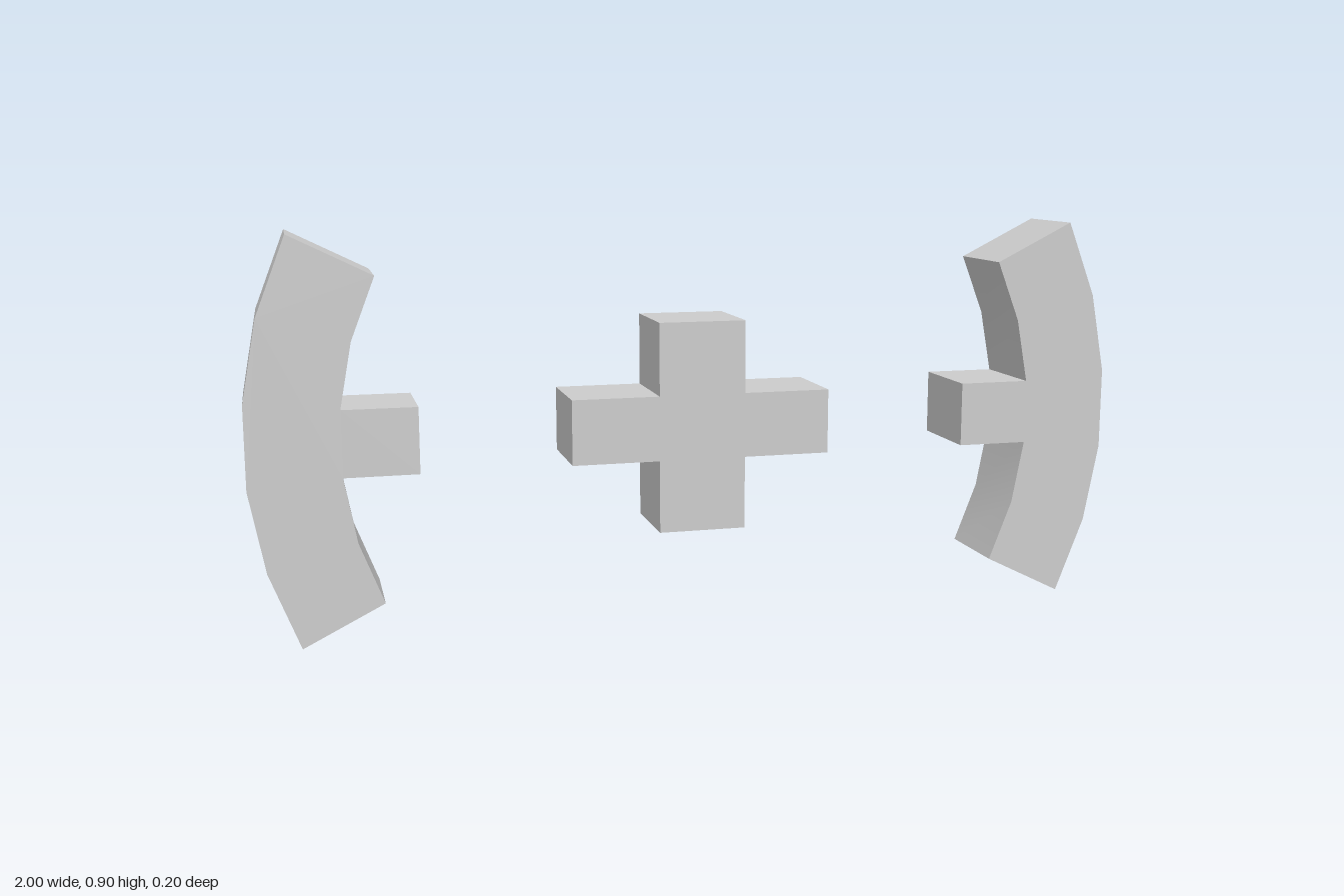
import * as THREE from 'three';
import { toCreasedNormals } from 'three/addons/utils/BufferGeometryUtils.js';

const DEPTH = 0.2, MID = 0.448, ARM = 0.074;
const material = new THREE.MeshStandardMaterial({ color: 0xcccccc });

// Prism with the given outline, centred on z = 0
function prism(name, points) {
  const shape = new THREE.Shape(points.map(([x, y]) => new THREE.Vector2(x, y)));
  const geometry = new THREE.ExtrudeGeometry(shape, { depth: DEPTH, bevelEnabled: false });
  geometry.translate(0, 0, -DEPTH / 2);
  const mesh = new THREE.Mesh(toCreasedNormals(geometry, 0.5), material);
  mesh.name = name;
  mesh.position.y = MID;
  return mesh;
}

// Curved bracket of five segments with a tab pointing at the centre
function bracketOutline() {
  const outer = 1.0043, inner = 0.803, tabEnd = 0.635, segments = 5;
  const half = Math.asin(MID / outer);
  const at = (r, i) => {
    const a = half * (2 * i / segments - 1);
    return [r * Math.cos(a), r * Math.sin(a)];
  };
  const points = [];
  for (let i = 0; i <= segments; i++) points.push(at(outer, i));
  for (let i = segments; i >= 0; i--) {
    points.push(at(inner, i));
    if (i === 3) points.push([tabEnd, ARM], [tabEnd, -ARM]);
  }
  return points;
}

export function createModel() {
  const group = new THREE.Group();
  group.name = 'crossWithBrackets';

  // Central cross
  const w = 0.1, arm = 0.3, h = 0.24;
  group.add(prism('centreCross', [
    [arm, -ARM], [arm, ARM], [w, ARM], [w, h], [-w, h], [-w, ARM],
    [-arm, ARM], [-arm, -ARM], [-w, -ARM], [-w, -h], [w, -h], [w, -ARM],
  ]));

  // Side brackets, the right one turned half round
  group.add(prism('leftBracket', bracketOutline()));
  const right = prism('rightBracket', bracketOutline());
  right.rotation.y = Math.PI;
  group.add(right);
  return group;
}
